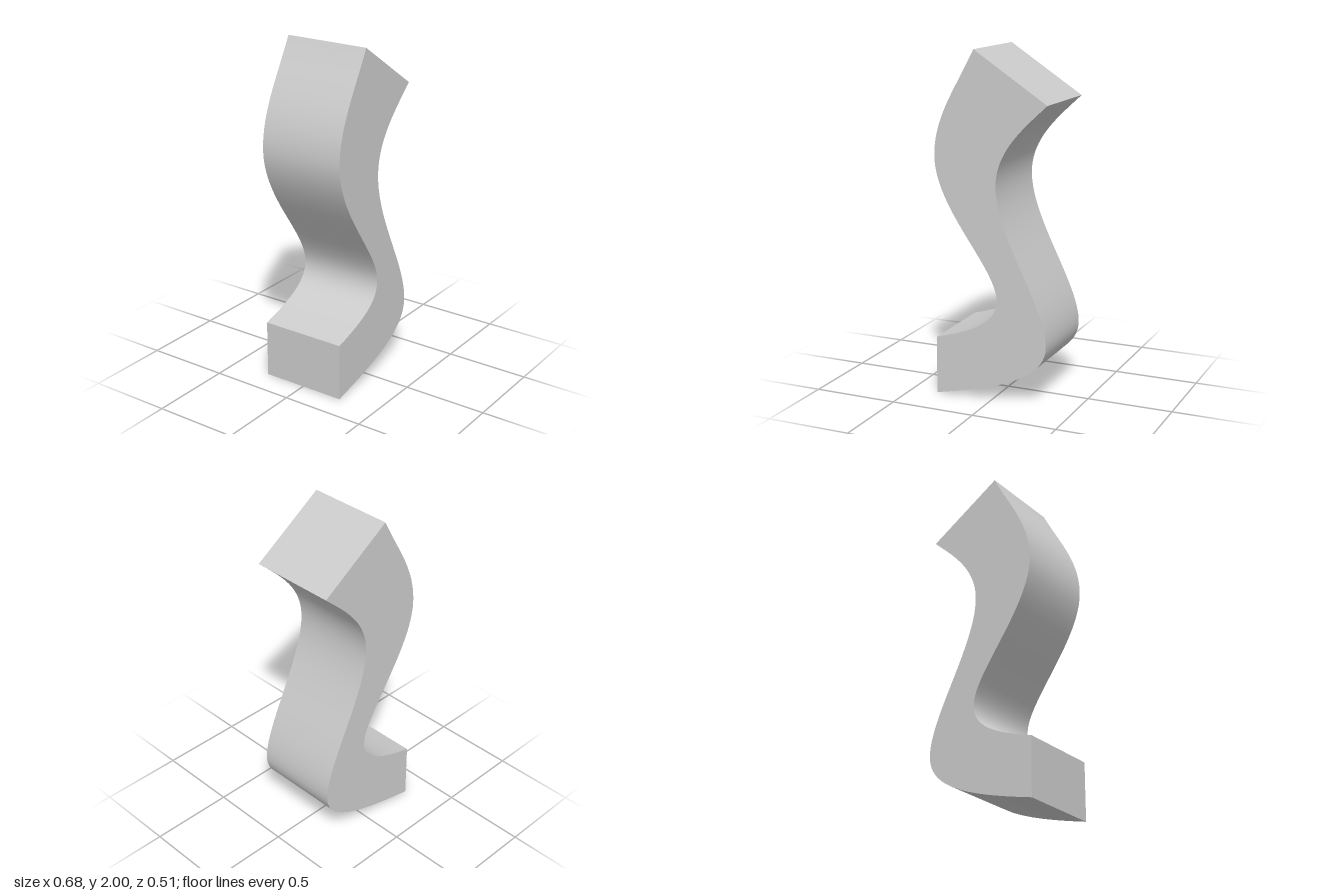
import * as THREE from 'three';
import { toCreasedNormals } from 'three/addons/utils/BufferGeometryUtils.js';

export function createModel() {
  const group = new THREE.Group();
  group.name = 'curvedLeg';
  const depth = 0.515;

  // S-shaped side profile, counter-clockwise from the bottom left corner
  const profile = new THREE.Shape();
  profile.moveTo(-0.34, 0);
  // outer edge, going up
  profile.bezierCurveTo(0.08, 0.09, 0.34, 0.18, 0.34, 0.37);
  profile.bezierCurveTo(0.34, 0.6, 0.035, 0.97, 0.035, 1.25);
  profile.bezierCurveTo(0.035, 1.45, 0.2, 1.585, 0.34, 1.715);
  // slanted top end
  profile.lineTo(-0.095, 2);
  // inner edge, going down
  profile.bezierCurveTo(-0.2, 1.79, -0.34, 1.62, -0.34, 1.4);
  profile.bezierCurveTo(-0.34, 1.1, 0.04, 0.79, 0.04, 0.6);
  profile.bezierCurveTo(0.04, 0.47, -0.1, 0.405, -0.34, 0.34);
  // upright foot end
  profile.closePath();

  const geometry = new THREE.ExtrudeGeometry(profile, {
    depth, bevelEnabled: false, curveSegments: 32,
  });
  geometry.translate(0, 0, -depth / 2);

  const leg = new THREE.Mesh(
    toCreasedNormals(geometry, Math.PI / 6),
    new THREE.MeshStandardMaterial({ color: 0xcccccc }),
  );
  leg.name = 'leg';
  group.add(leg);
  return group;
}
